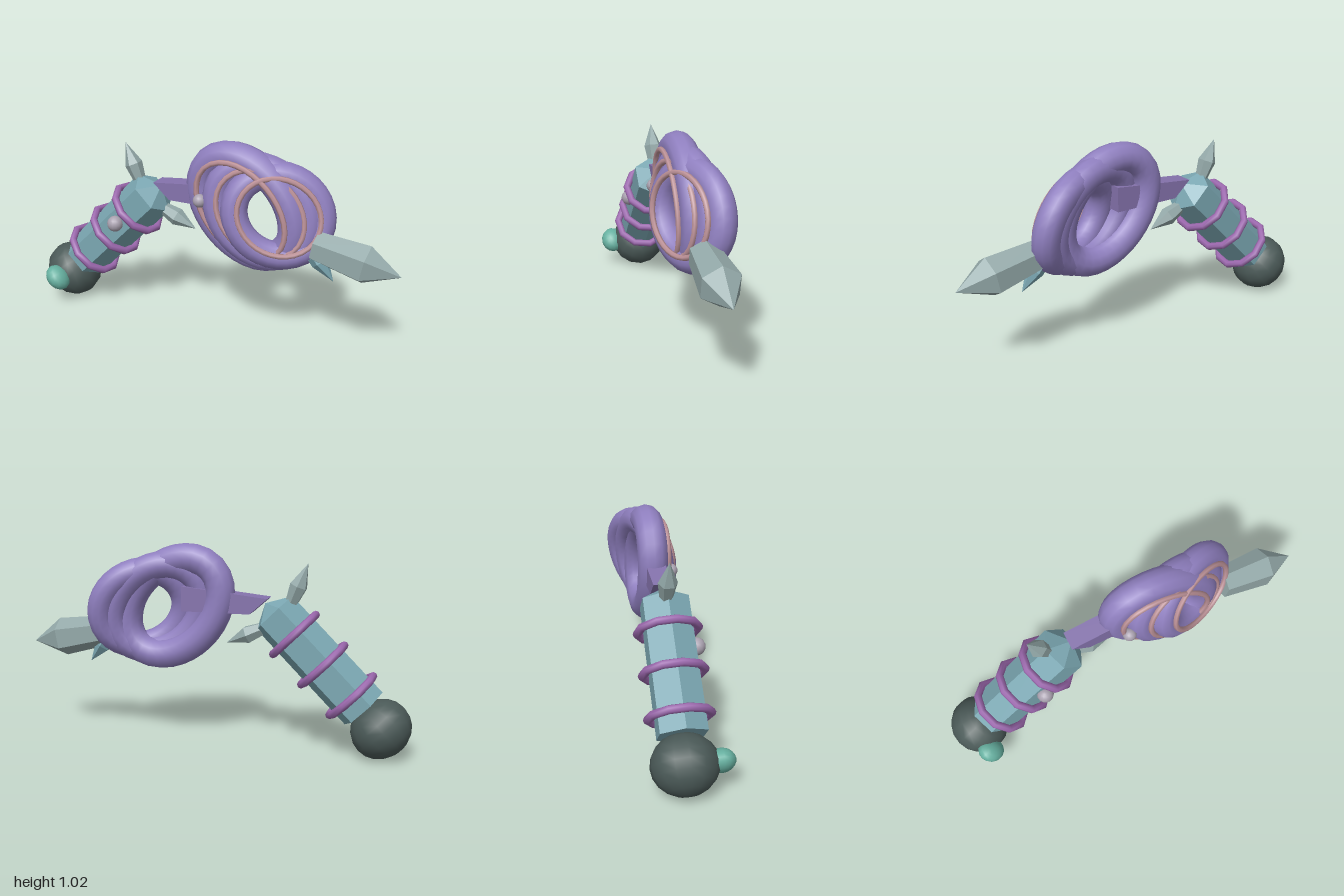
import * as THREE from 'three';

const Z = -0.03; // shared centre plane
const UP = new THREE.Vector3(0, 1, 0);
const v = (x, y, z = Z) => new THREE.Vector3(x, y, z);
const mat = (color, flatShading = false) => new THREE.MeshStandardMaterial({ color, flatShading });

const M = {
  grip: mat(0x7ba7b2, true),
  crystal: mat(0x93a8a8, true),
  bar: mat(0x8573ad, true),
  coil: mat(0x8f7fbf),
  trim: mat(0xbd9298),
  band: mat(0x9c68ae),
  pommel: mat(0x4b5a58),
  gem: mat(0x66b0a0),
  pearl: mat(0xaaa2b0),
};

export function createModel() {
  const model = new THREE.Group();
  const add = (name, geometry, material, position) => {
    const mesh = new THREE.Mesh(geometry, material);
    mesh.name = name;
    if (position) mesh.position.copy(position);
    model.add(mesh);
    return mesh;
  };

  // Faceted solid turned around the line from a to b; profile = [radius, fraction of length]
  const faceted = (name, a, b, profile, material, sides = 6, turn = 0) => {
    const length = a.distanceTo(b);
    const points = profile.map(([r, t]) => new THREE.Vector2(r, t * length));
    const geometry = new THREE.LatheGeometry(points, sides).rotateY(turn);
    const mesh = add(name, geometry, material, a);
    mesh.quaternion.setFromUnitVectors(UP, b.clone().sub(a).normalize());
    return mesh;
  };

  // Pommel, flattened along the grip, with a gem on its front
  const pommel = add('pommel', new THREE.SphereGeometry(0.155, 14, 10), M.pommel, v(-0.852, 0.15));
  pommel.scale.set(1, 0.9, 1);
  pommel.rotation.z = -Math.PI / 4;
  const gem = add('pommelGem', new THREE.SphereGeometry(0.065, 14, 10), M.gem, v(-0.855, 0.155, 0.13));
  gem.scale.set(1.15, 0.82, 1);
  gem.rotation.z = -Math.PI / 4;

  // Hexagonal grip with a pointed end
  faceted('grip', v(-0.765, 0.243, -0.025), v(-0.27, 0.738, -0.025),
    [[0, 0], [0.124, 0], [0.124, 0.905], [0, 1]], M.grip, 6, Math.PI / 2);

  // Bands around the grip
  const gripAxis = new THREE.Vector3(1, 1, 0).normalize();
  for (const x of [-0.703, -0.56, -0.417]) {
    const band = add('gripBand', new THREE.TorusGeometry(0.143, 0.02, 8, 10), M.band, v(x, x + 1.006, -0.025));
    band.quaternion.setFromUnitVectors(new THREE.Vector3(0, 0, 1), gripAxis);
  }

  // Guard spikes
  const spike = [[0, 0], [0.028, 0], [0.046, 0.5], [0, 1]];
  faceted('upperGuardSpike', v(-0.39, 0.72), v(-0.48, 0.94), spike, M.crystal);
  faceted('lowerGuardSpike', v(-0.29, 0.625), v(-0.075, 0.53), spike, M.crystal);

  // Bar joining the grip to the coil, cut at a slant
  const barShape = new THREE.Shape([[-0.29, 0.765], [-0.2, 0.685], [0.15, 0.685], [0.15, 0.81]]
    .map(([x, y]) => new THREE.Vector2(x, y)));
  add('connectingBar', new THREE.ExtrudeGeometry(barShape, { depth: 0.095, bevelEnabled: false }), M.bar, v(0, 0, -0.07));

  // Three overlapping oval coils, each leaning further than the last, with a thin trim in front
  const oval = ({ c, a, b, lean, drop }, grow, lift) => {
    const normal = new THREE.Vector3(lean, drop, 1).normalize();
    const points = [];
    for (let i = 0; i < 24; i++) {
      const t = (i / 24) * Math.PI * 2;
      const p = Math.cos(t) * (a + grow), q = Math.sin(t) * (b + grow);
      const dx = (p + q) * Math.SQRT1_2, dy = (q - p) * Math.SQRT1_2;
      const point = new THREE.Vector3(dx, dy, -lean * dx - drop * dy);
      points.push(point.add(c).addScaledVector(normal, lift));
    }
    return new THREE.CatmullRomCurve3(points, true);
  };
  const coils = [
    { c: v(0.205, 0.7), a: 0.285, b: 0.205, lean: 0, drop: 0, r: 0.075 },
    { c: v(0.29, 0.69, -0.025), a: 0.25, b: 0.195, lean: 0.25, drop: 0.13, r: 0.07 },
    { c: v(0.375, 0.685, -0.025), a: 0.215, b: 0.18, lean: 0.45, drop: 0.2, r: 0.068 },
  ];
  for (const coil of coils) {
    add('coil', new THREE.TubeGeometry(oval(coil, 0, 0), 32, coil.r, 12, true), M.coil);
    add('coilTrim', new THREE.TubeGeometry(oval(coil, -0.012, coil.r + 0.006), 32, 0.014, 6, true), M.trim);
  }

  // Pearls on the grip, coil and bar
  for (const [x, y, z, r] of [[-0.485, 0.53, 0.095, 0.042], [-0.005, 0.727, 0.066, 0.034], [0.16, 0.722, 0.03, 0.026]]) {
    add('pearl', new THREE.SphereGeometry(r, 14, 10), M.pearl, v(x, y, z));
  }

  // Large crystal tip and the small thorn beneath it
  faceted('tipCrystal', v(0.57, 0.56), v(0.995, 0.48),
    [[0, 0], [0.078, 0], [0.1, 0.6], [0, 1]], M.crystal, 6, Math.PI / 6);
  faceted('tipThorn', v(0.575, 0.51), v(0.67, 0.39),
    [[0, 0], [0.045, 0], [0.045, 0.25], [0, 1]], M.grip);

  return model;
}
